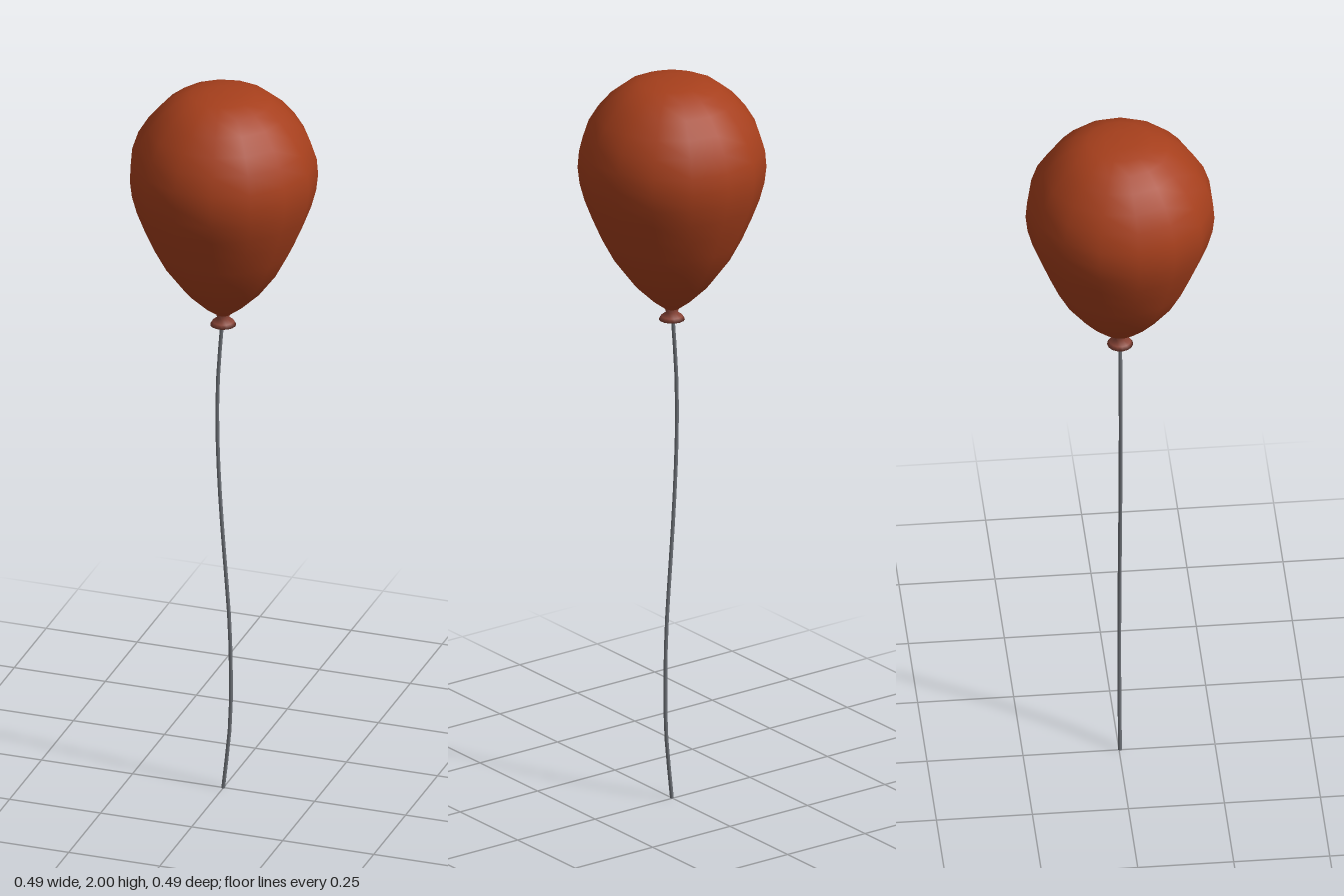
import * as THREE from 'three';

const SIDES = 15;

// Smooth lathe from [radius, height] pairs, listed bottom to top
function lathe(name, profile, material) {
  const points = profile.map(([r, y]) => new THREE.Vector2(r, y));
  const mesh = new THREE.Mesh(new THREE.LatheGeometry(points, SIDES, Math.PI), material);
  mesh.name = name;
  return mesh;
}

export function createModel() {
  const rubber = new THREE.MeshStandardMaterial({ name: 'balloon red', color: 0xa63f1c });
  const knotRed = new THREE.MeshStandardMaterial({ name: 'knot red', color: 0x8c4638, side: THREE.DoubleSide });
  const cord = new THREE.MeshStandardMaterial({ name: 'string grey', color: 0x70747a });

  const group = new THREE.Group();
  group.name = 'balloon';

  // Everything hangs on one axis, set so the odd-sided body is centred in z
  const parts = new THREE.Group();
  parts.name = 'balloonParts';
  parts.position.z = 0.0027;
  group.add(parts);

  // Inflated teardrop body
  parts.add(lathe('body', [
    [0.012, 1.358], [0.052, 1.388], [0.102, 1.436], [0.15, 1.5], [0.182, 1.56], [0.208, 1.62],
    [0.228, 1.672], [0.241, 1.72], [0.2462, 1.765], [0.2425, 1.81], [0.226, 1.86], [0.2, 1.903],
    [0.165, 1.945], [0.127, 1.975], [0.085, 1.993], [0.04, 1.999], [0, 2],
  ], rubber));

  // Tied neck with a flared lip
  parts.add(lathe('knot', [
    [0, 1.345], [0.018, 1.337], [0.034, 1.332], [0.028, 1.342], [0.015, 1.352], [0.022, 1.372],
  ], knotRed));

  // Gently waving string
  const wave = [
    [0, 0], [0.019, 0.19], [0.021, 0.35], [0.016, 0.5], [0.004, 0.66],
    [-0.008, 0.83], [-0.016, 1.02], [-0.014, 1.18], [-0.002, 1.345],
  ].map(([x, y]) => new THREE.Vector3(x, y, 0));
  const string = new THREE.Mesh(
    new THREE.TubeGeometry(new THREE.CatmullRomCurve3(wave), 16, 0.005, 6), cord);
  string.name = 'string';
  parts.add(string);

  return group;
}
